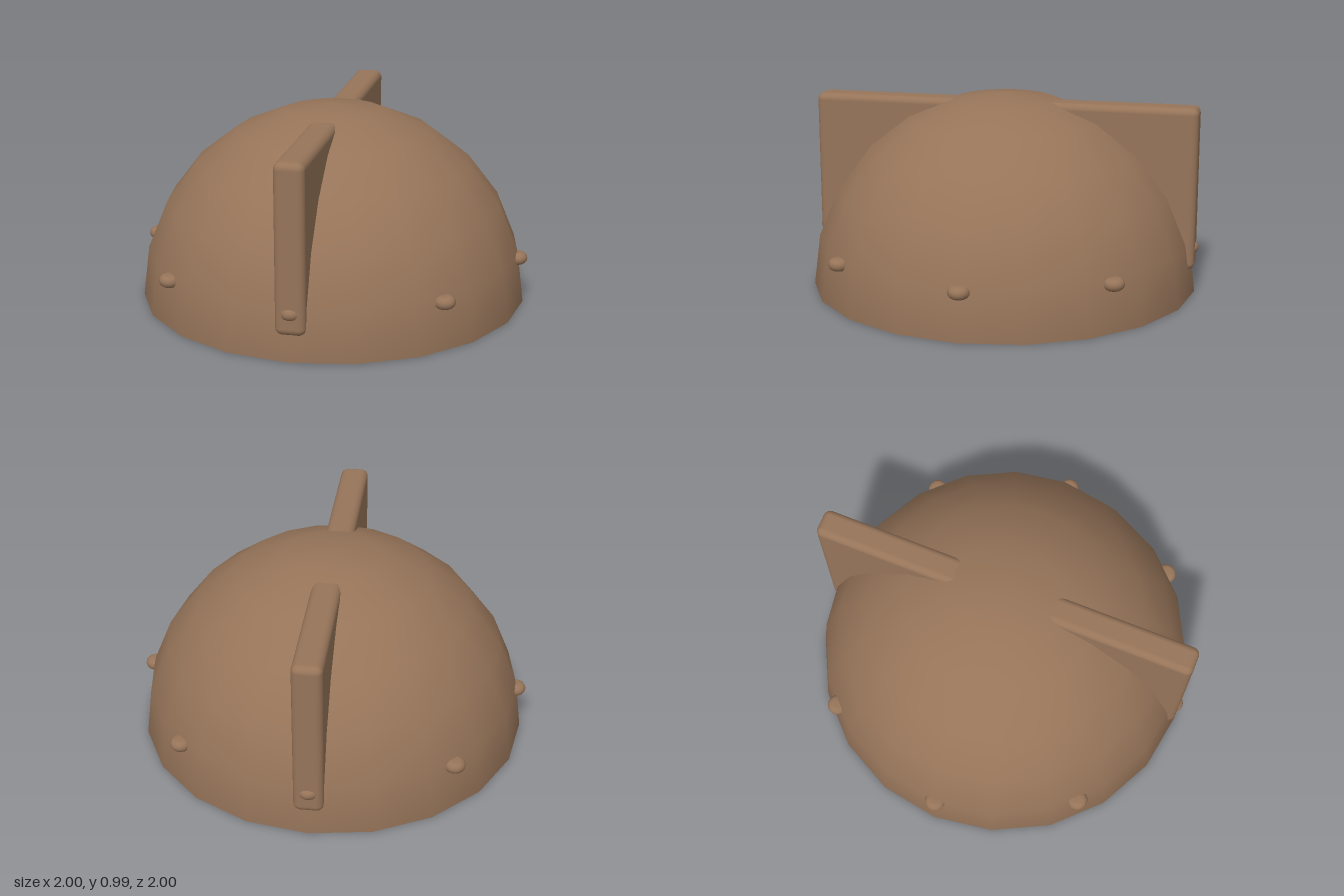
import * as THREE from 'three';
import { RoundedBoxGeometry } from 'three/addons/geometries/RoundedBoxGeometry.js';

export function createModel() {
  const group = new THREE.Group();
  const brown = new THREE.MeshStandardMaterial({ color: 0x967459 });
  brown.name = 'brown';

  const add = (name, geometry, parent = group) => {
    const mesh = new THREE.Mesh(geometry, brown);
    mesh.name = name;
    parent.add(mesh);
    return mesh;
  };

  const R = 0.985;
  const SIDES = 20;

  // Half-sphere shell and its flat underside
  add('dome', new THREE.SphereGeometry(R, SIDES, 6, 0, Math.PI * 2, 0, Math.PI / 2));
  add('base', new THREE.CircleGeometry(R, SIDES).rotateX(Math.PI / 2));

  // One slab through the dome forms the front and back fins
  add('fin', new RoundedBoxGeometry(0.146, 0.825, 1.966, 4, 0.035)).position.y = 0.5375;

  // Flat discs with rounded rims, spaced evenly around the dome
  const r = 0.053, h = 0.03;
  const profile = [new THREE.Vector2(0, -h)];
  for (let i = 0; i <= 8; i++) {
    const a = -Math.PI / 2 + (Math.PI * i) / 8;
    profile.push(new THREE.Vector2(r - h + h * Math.cos(a), h * Math.sin(a)));
  }
  profile.push(new THREE.Vector2(0, h));
  const studGeometry = new THREE.LatheGeometry(profile, 20);

  const studs = new THREE.Group();
  studs.name = 'studs';
  group.add(studs);
  for (let i = 0; i < 8; i++) {
    const a = (i * Math.PI) / 4;
    add('stud', studGeometry, studs).position.set(0.947 * Math.sin(a), 0.233, 0.947 * Math.cos(a));
  }

  return group;
}
